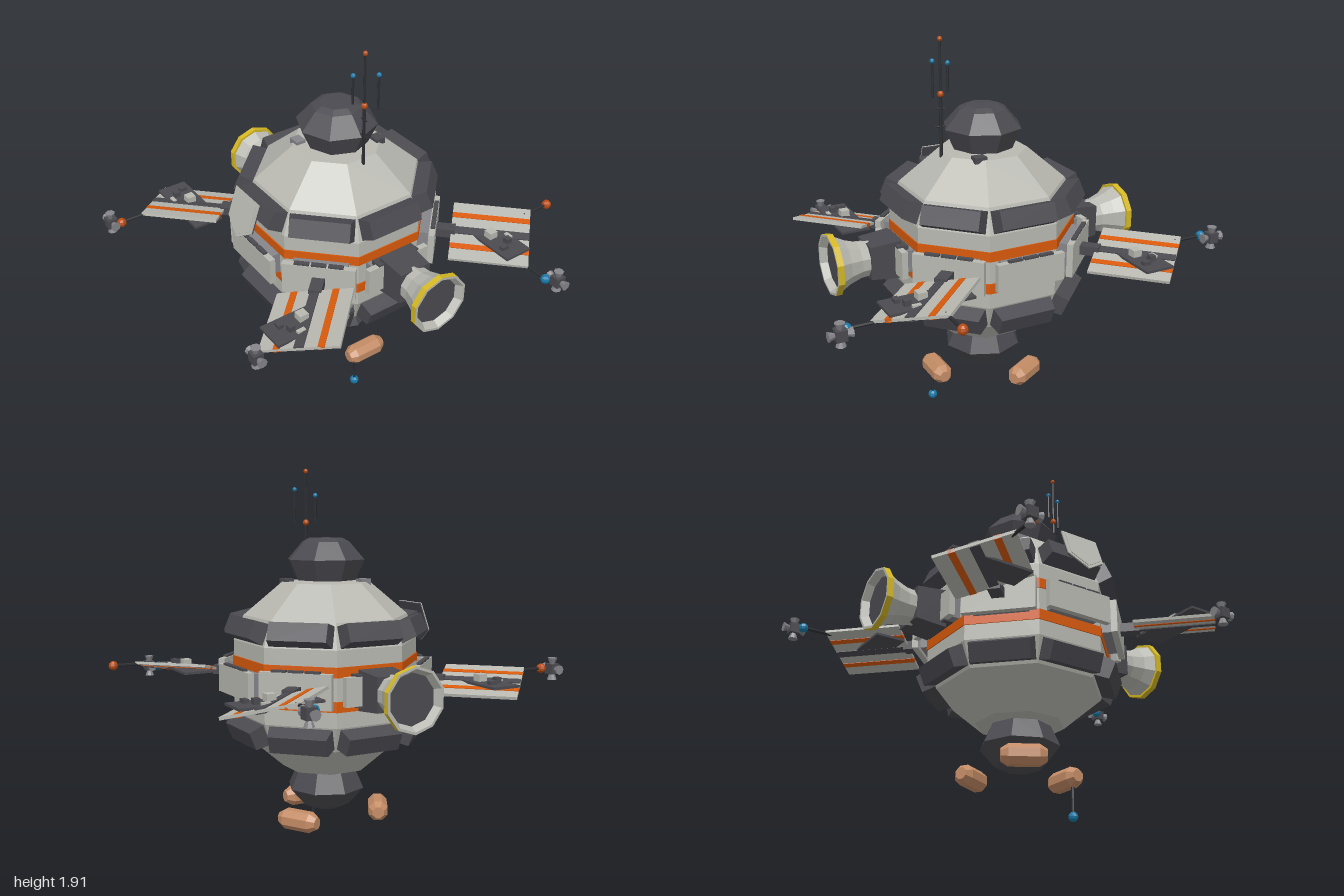
import * as THREE from 'three';

const mat = (name, color) => {
  const m = new THREE.MeshStandardMaterial({ color });
  m.name = name;
  return m;
};

export function createModel() {
  const M = {
    hull: mat('hullGrey', 0xb9b9b2),
    dark: mat('darkGrey', 0x4b4a50),
    orange: mat('orange', 0xd95a0c),
    ball: mat('rust', 0xb84c14),
    yellow: mat('yellow', 0xd4b824),
    blue: mat('blue', 0x1878a6),
    brown: mat('tan', 0xc48c66),
    steel: mat('steel', 0x85858a),
    rod: mat('rodBlack', 0x2c2d31),
  };
  const root = new THREE.Group();
  root.name = 'spaceStation';

  const flat = (g) => {
    const f = g.index ? g.toNonIndexed() : g;
    f.computeVertexNormals();
    return f;
  };
  const add = (parent, name, geo, material, x = 0, y = 0, z = 0) => {
    const m = new THREE.Mesh(flat(geo), material);
    m.name = name;
    m.position.set(x, y, z);
    parent.add(m);
    return m;
  };
  const box = (w, h, d) => new THREE.BoxGeometry(w, h, d);
  const group = (parent, name, ry = 0) => {
    const g = new THREE.Group();
    g.name = name;
    g.rotation.y = ry;
    parent.add(g);
    return g;
  };
  // Profile is [radius, height] from bottom to top
  const lathe = (pts, sides, start = 0) =>
    new THREE.LatheGeometry(pts.map((p) => new THREE.Vector2(p[0], p[1])), sides, start);
  const K = 1 / Math.cos(Math.PI / 8); // flat-to-corner ratio of an octagon
  const hullRing = (pts) => lathe(pts.map(([r, y]) => [r * K, y]), 8, Math.PI / 8);
  const rod = (parent, name, a, b, r) => {
    const A = new THREE.Vector3(...a), B = new THREE.Vector3(...b);
    const m = add(parent, name, new THREE.CylinderGeometry(r, r, A.distanceTo(B), 6), M.rod);
    m.position.copy(A).add(B).multiplyScalar(0.5);
    m.quaternion.setFromUnitVectors(new THREE.Vector3(0, 1, 0), B.sub(A).normalize());
  };
  const ball = (parent, name, p, r, m) => add(parent, name, new THREE.SphereGeometry(r, 8, 6), m, ...p);

  // Octagonal hull with two painted bands; its axis sits slightly behind centre
  const core = group(root, 'hullAssembly');
  core.position.z = -0.025;
  add(core, 'hull', hullRing([[0, 0.44], [0.2, 0.44], [0.375, 0.6], [0.42, 0.72],
    [0.42, 1.08], [0.375, 1.2], [0.2, 1.36], [0, 1.36]]), M.hull);
  for (const [lo, hi] of [[0.795, 0.845], [0.955, 1.003]])
    add(core, 'hullBand', hullRing([[0.42, lo], [0.425, lo], [0.425, hi], [0.42, hi]]), M.orange);

  // Dark end caps
  const cap = [[0, -0.1], [0.15, -0.1], [0.195, 0], [0.12, 0.085], [0.085, 0.103], [0, 0.106]];
  add(core, 'topCap', lathe(cap, 8), M.dark, 0, 1.47, 0);
  const low = add(core, 'bottomCap', lathe(cap, 8), M.dark, 0, 0.33, 0);
  low.rotation.x = Math.PI;
  add(root, 'roofBox', box(0.06, 0.03, 0.05), M.dark, 0.1, 1.36, -0.19);
  add(root, 'roofBox', box(0.06, 0.03, 0.05), M.steel, -0.1, 1.36, 0.13);

  // Block whose outer face is narrower than its base
  const bevelBlock = (w, h, d, sx = 0.92) => {
    const g = box(w, h, d), p = g.attributes.position;
    for (let i = 0; i < p.count; i++)
      if (p.getZ(i) > 0) p.setXY(i, p.getX(i) * sx, p.getY(i) * 0.85);
    return g;
  };

  // Armour blocks and side plates on each of the eight faces
  for (let k = 0; k < 8; k++) {
    const face = group(core, 'hullFace', (k * Math.PI) / 4);
    for (const s of [1, -1]) {
      const b = add(face, 'armourBlock', bevelBlock(0.305, 0.105, 0.075), M.dark, 0, 0.9 + s * 0.25, 0.432);
      b.rotation.x = -s * 0.4;
    }
    const h = k % 2 ? 0.165 : 0.135;
    add(face, 'sidePlate', box(0.345, h, 0.03), M.hull, 0, 0.9, 0.487);
    add(face, 'plateMount', box(0.26, h * 0.8, 0.06), M.steel, 0, 0.9, 0.445);
    for (const x of [-0.08, 0, 0.08])
      add(face, 'plateVent', box(0.07, 0.014, 0.022), M.dark, x, 0.9 + h / 2 + 0.003, 0.489);
    if (k % 4 === 2) addEngine(face);
    if (k % 2) addPanel(face);
  }

  // Engine facing outward along local z
  function addEngine(face) {
    const e = group(face, 'engine');
    add(e, 'engineBase', box(0.23, 0.15, 0.05), M.dark, 0, 0.9, 0.47);
    add(e, 'engineBlock', bevelBlock(0.18, 0.19, 0.15), M.dark, 0, 0.9, 0.545);
    const n = group(e, 'nozzle');
    n.position.set(0, 0.9, 0);
    n.rotation.x = Math.PI / 2;
    add(n, 'nozzleBell', lathe([[0, 0.6], [0.085, 0.6], [0.09, 0.66], [0.11, 0.72], [0.14, 0.775]], 10), M.hull);
    add(n, 'nozzleRim', lathe([[0.135, 0.77], [0.15, 0.77], [0.15, 0.8]], 10), M.yellow);
    add(n, 'nozzleLip', lathe([[0.15, 0.8], [0.138, 0.8], [0.118, 0.765]], 10), M.hull);
    add(n, 'nozzleThroat', lathe([[0.119, 0.766], [0, 0.766]], 10), M.dark);
  }

  // Tilted solar panel on an arm
  function addPanel(face) {
    const p = group(face, 'solarPanel');
    p.position.set(0, 0.9, 0.765);
    const t = group(p, 'tiltedPanel');
    t.rotation.z = 0.23;
    add(t, 'panelSheet', box(0.367, 0.014, 0.382), M.hull);
    for (const x of [-0.1, 0.1]) add(t, 'panelStripe', box(0.032, 0.019, 0.382), M.orange, x);
    add(t, 'panelSpine', box(0.045, 0.024, 0.382), M.dark);
    add(p, 'panelArm', box(0.06, 0.045, 0.16), M.dark, 0, 0, -0.25);
    // Level equipment deck cutting through the sheet
    const d = group(p, 'equipmentDeck', Math.PI / 4);
    add(d, 'deckPlate', box(0.4, 0.012, 0.15), M.dark);
    add(d, 'deckBox', box(0.045, 0.04, 0.045), M.hull, -0.02, 0.02, -0.015);
    add(d, 'deckBox', box(0.03, 0.03, 0.03), M.dark, -0.1, 0.018, 0.02);
    add(d, 'deckBox', box(0.04, 0.016, 0.02), M.hull, -0.07, 0.01, 0.055);
    add(d, 'deckBox', box(0.025, 0.02, 0.04), M.dark, -0.13, 0.014, -0.03);
  }

  // Thruster cluster: a cube with four flared nozzles
  const thruster = (x, y, z) => {
    const g = group(root, 'thrusterCluster');
    g.position.set(x, y, z);
    add(g, 'thrusterCore', box(0.05, 0.05, 0.05), M.dark);
    for (let i = 0; i < 4; i++) {
      const a = (i * Math.PI) / 2;
      const n = add(g, 'thrusterNozzle', new THREE.CylinderGeometry(0.024, 0.012, 0.03, 8), M.steel,
        -Math.sin(a) * 0.039, Math.cos(a) * 0.039, 0);
      n.rotation.z = a;
    }
  };
  thruster(-0.95, 0.935, -0.62);
  thruster(-0.585, 0.935, 0.925);
  thruster(0.95, 0.857, -0.62);
  thruster(0.57, 0.857, 0.8);

  // Panel-tip and keel antennas
  for (const [a, b, m] of [
    [[-0.76, 0.935, -0.58], [-0.915, 0.935, -0.58], M.blue],
    [[-0.55, 0.935, 0.74], [-0.55, 0.935, 0.885], M.ball],
    [[0.55, 0.935, -0.78], [0.55, 0.935, -0.94], M.ball],
    [[0.76, 0.857, -0.58], [0.91, 0.857, -0.58], M.blue],
    [[0.258, 0.2, 0.04], [0.258, 0.025, 0.04], M.blue],
  ]) {
    rod(root, 'antennaRod', a, b, 0.008);
    ball(root, 'antennaTip', b, 0.024, m);
  }

  // Tall mast with side whips
  rod(root, 'mast', [0.215, 1.34, -0.022], [0.215, 1.64, -0.022], 0.008);
  rod(root, 'mastTop', [0.215, 1.64, -0.022], [0.215, 1.9, -0.022], 0.006);
  ball(root, 'mastJoint', [0.215, 1.645, -0.022], 0.016, M.ball);
  ball(root, 'mastTip', [0.215, 1.9, -0.022], 0.012, M.ball);
  for (const [x, y, z] of [[0.165, 1.78, 0.005], [0.27, 1.81, -0.057]]) {
    rod(root, 'whip', [x, 1.64, z], [x, y, z], 0.006);
    ball(root, 'whipTip', [x, y, z], 0.012, M.blue);
  }
  rod(root, 'mastBar', [0.19, 1.49, -0.022], [0.25, 1.49, -0.022], 0.004);
  rod(root, 'mastBar', [0.195, 1.575, -0.022], [0.235, 1.575, -0.022], 0.004);

  // Three cargo pods around the keel
  const pod = [[0, -0.105], [0.03, -0.105], [0.052, -0.07], [0.052, 0.07], [0.03, 0.105], [0, 0.105]];
  for (let i = 0; i < 3; i++) {
    const g = group(root, 'cargoPod', Math.PI / 2 + (i * Math.PI * 2) / 3);
    g.position.set(0, 0.215, -0.022);
    const m = add(g, 'podShell', lathe(pod, 8, Math.PI / 8), M.brown, 0, 0, 0.26);
    m.rotation.z = Math.PI / 2;
  }

  // Five-sided shield leaning forward on the front
  const shield = group(root, 'frontShield');
  shield.position.set(0, 1.137, 0.508);
  shield.rotation.x = -0.35;
  const shieldGeo = (s, depth) => new THREE.ExtrudeGeometry(new THREE.Shape(
    [[-0.1, 0.108], [-0.1, -0.04], [0, -0.108], [0.1, -0.04], [0.1, 0.108]]
      .map(([x, y]) => new THREE.Vector2(x * s, y * s))), { depth, bevelEnabled: false });
  add(shield, 'shieldBack', shieldGeo(1, 0.006), M.dark, 0, 0, -0.006);
  add(shield, 'shieldFrame', shieldGeo(1, 0.006), M.hull);
  add(shield, 'shieldFace', shieldGeo(0.85, 0.004), M.hull, 0, 0, 0.005);

  return root;
}
